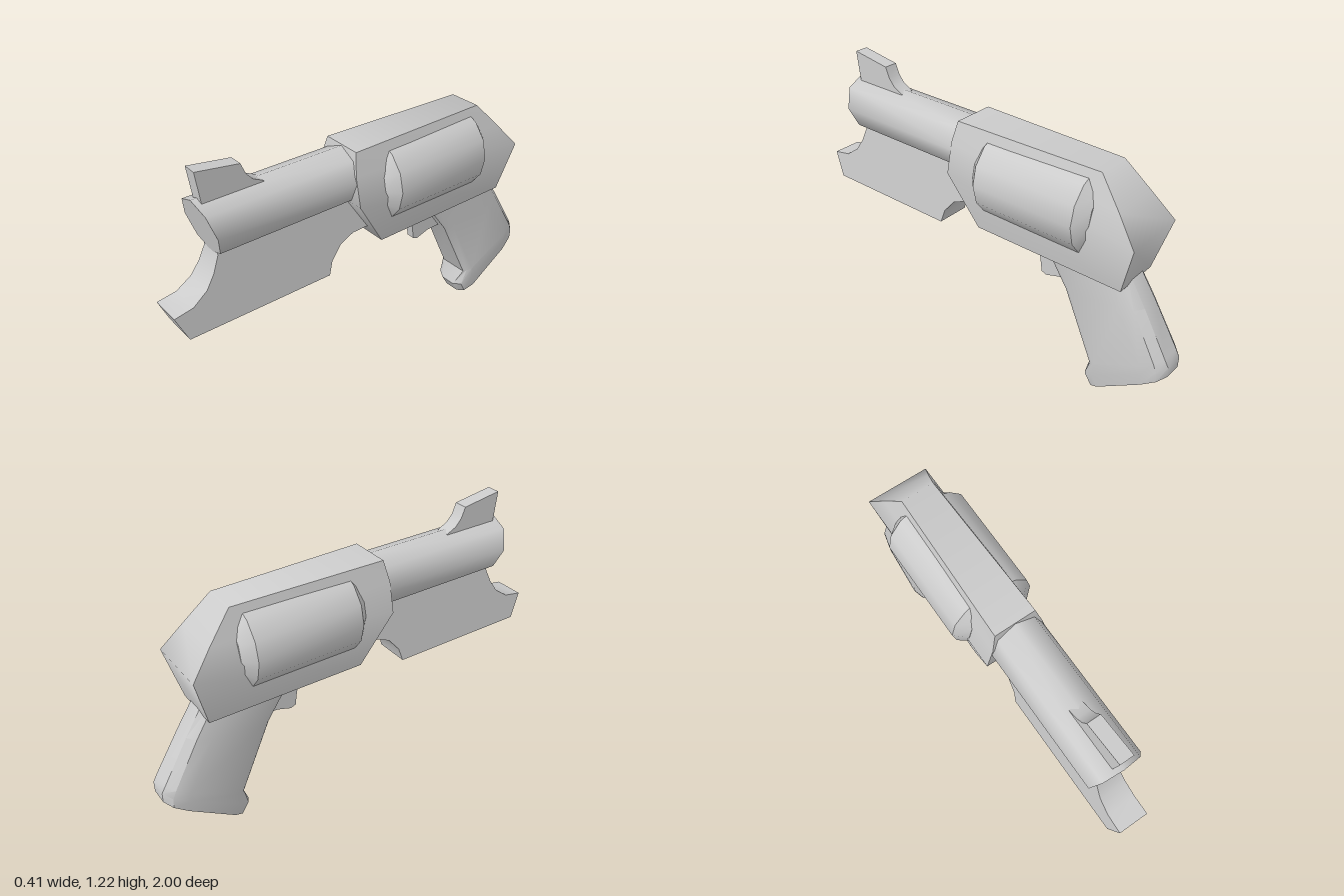
import * as THREE from 'three';
import { toCreasedNormals } from 'three/addons/utils/BufferGeometryUtils.js';

const material = new THREE.MeshStandardMaterial({ color: 0xcccccc });

function part(name, geometry, crease) {
  const mesh = new THREE.Mesh(toCreasedNormals(geometry, crease), material);
  mesh.name = name;
  return mesh;
}

// Side profile of [z, y] points, extruded across x and centred
function slab(profile, width) {
  const shape = new THREE.Shape(profile.map(([z, y]) => new THREE.Vector2(z, y)));
  return new THREE.ExtrudeGeometry(shape, { depth: width, bevelEnabled: false })
    .translate(0, 0, -width / 2).rotateY(-Math.PI / 2);
}

// Joins half-sections of [x, y, z] points, mirrored in x, with closed ends
function mirroredLoft(halves) {
  const n = halves[0].length, m = 2 * n;
  const points = halves.flatMap((h) =>
    [...h, ...h.slice().reverse().map(([x, y, z]) => [-x, y, z])]);
  const index = [];
  const quad = (a, b, c, d) => index.push(a, b, c, a, c, d);
  for (let r = 0; r < halves.length - 1; r++) {
    for (let i = 0; i < m; i++) {
      const j = (i + 1) % m;
      quad(r * m + i, r * m + j, (r + 1) * m + j, (r + 1) * m + i);
    }
  }
  const last = (halves.length - 1) * m;
  for (let i = 0; i < n - 1; i++) {
    quad(i, m - 1 - i, m - 2 - i, i + 1);
    quad(last + i, last + i + 1, last + m - 2 - i, last + m - 1 - i);
  }
  const geometry = new THREE.BufferGeometry();
  geometry.setAttribute('position', new THREE.Float32BufferAttribute(points.flat(), 3));
  geometry.setIndex(index);
  return geometry;
}

// Moves every vertex by a rule
function reshape(geometry, rule) {
  const p = geometry.attributes.position, v = new THREE.Vector3();
  for (let i = 0; i < p.count; i++) {
    rule(v.fromBufferAttribute(p, i));
    p.setXYZ(i, v.x, v.y, v.z);
  }
  return geometry;
}

export function createModel() {
  const model = new THREE.Group();
  model.name = 'toyRevolver';

  // Frame: narrow top, wide middle, sloping chin and back
  model.add(part('frame', mirroredLoft([
    [[0.1, 1.1, 0.105], [0.125, 1.0, 0.125], [0.155, 0.86, 0.125], [0.12, 0.62, -0.025]],
    [[0.08, 1.1, -0.63], [0.118, 0.975, -0.745], [0.155, 0.86, -0.845], [0.115, 0.62, -0.78]],
  ]), 1.05));

  // Drum with tapered ends
  const drumProfile = [[0, -0.63], [0.15, -0.63], [0.205, -0.58], [0.205, -0.07], [0.15, -0.02], [0, -0.02]]
    .map(([r, y]) => new THREE.Vector2(r, y));
  model.add(part('drum', new THREE.LatheGeometry(drumProfile, 14)
    .rotateX(Math.PI / 2).rotateZ(Math.PI / 2).translate(0, 0.885, 0), 0.6));

  // Eight-sided barrel with a slanted muzzle
  const barrel = new THREE.CylinderGeometry(0.13, 0.13, 0.8, 8)
    .rotateX(Math.PI / 2).translate(0, 0.965, 0.4);
  reshape(barrel, (v) => { if (v.z > 0.5) v.z += (v.y - 0.965) * 0.25; });
  model.add(part('barrel', barrel, 1.0));

  // Front sight
  model.add(part('frontSight', slab([
    [0.8, 1.06], [0.82, 1.225], [0.62, 1.195], [0.6, 1.145], [0.57, 1.11], [0.52, 1.085], [0.52, 1.06],
  ], 0.066), 0.7));

  // Under-barrel block, wider towards the bottom
  const underBarrel = slab([
    [1, 0.645], [0.95, 0.525], [0.245, 0.525], [0.225, 0.59], [0.17, 0.655], [0.1, 0.685], [-0.05, 0.69],
    [-0.05, 0.88], [0.765, 0.88], [0.77, 0.84], [0.8, 0.77], [0.84, 0.71], [0.91, 0.66],
  ], 2);
  reshape(underBarrel, (v) => { v.x *= 0.085 - (v.y - 0.525) * 0.1; });
  model.add(part('underBarrel', underBarrel, 0.7));

  // Trigger
  model.add(part('trigger', slab([
    [-0.25, 0.64], [-0.29, 0.58], [-0.305, 0.53], [-0.315, 0.46], [-0.34, 0.45],
    [-0.41, 0.472], [-0.5, 0.475], [-0.5, 0.64],
  ], 0.042), 0.7));

  // Grip: sections from bottom to top as [front z, front y, back z, back y, half width, rounded front]
  const flatFront = [[0, 0.72], [0.03, 0.85], [0.1, 1], [0.75, 1], [0.92, 0.85], [1, 0.45]];
  const roundFront = [[0, 0.4], [0.05, 0.8], [0.17, 1], [0.75, 1], [0.92, 0.85], [1, 0.45]];
  const grip = [
    [-0.634, 0.002, -1.0, 0.245, 0.095, true],
    [-0.6, 0.06, -1.0, 0.295, 0.1, true],
    [-0.635, 0.145, -0.98, 0.33, 0.102, false],
    [-0.48, 0.475, -0.86, 0.53, 0.092, false],
    [-0.34, 0.67, -0.75, 0.7, 0.085, false],
  ].map(([fz, fy, bz, by, w, round]) => (round ? roundFront : flatFront)
    .map(([t, x]) => [x * w, fy + (by - fy) * t, fz + (bz - fz) * t]));
  model.add(part('grip', mirroredLoft(grip), 0.65));

  return model;
}
